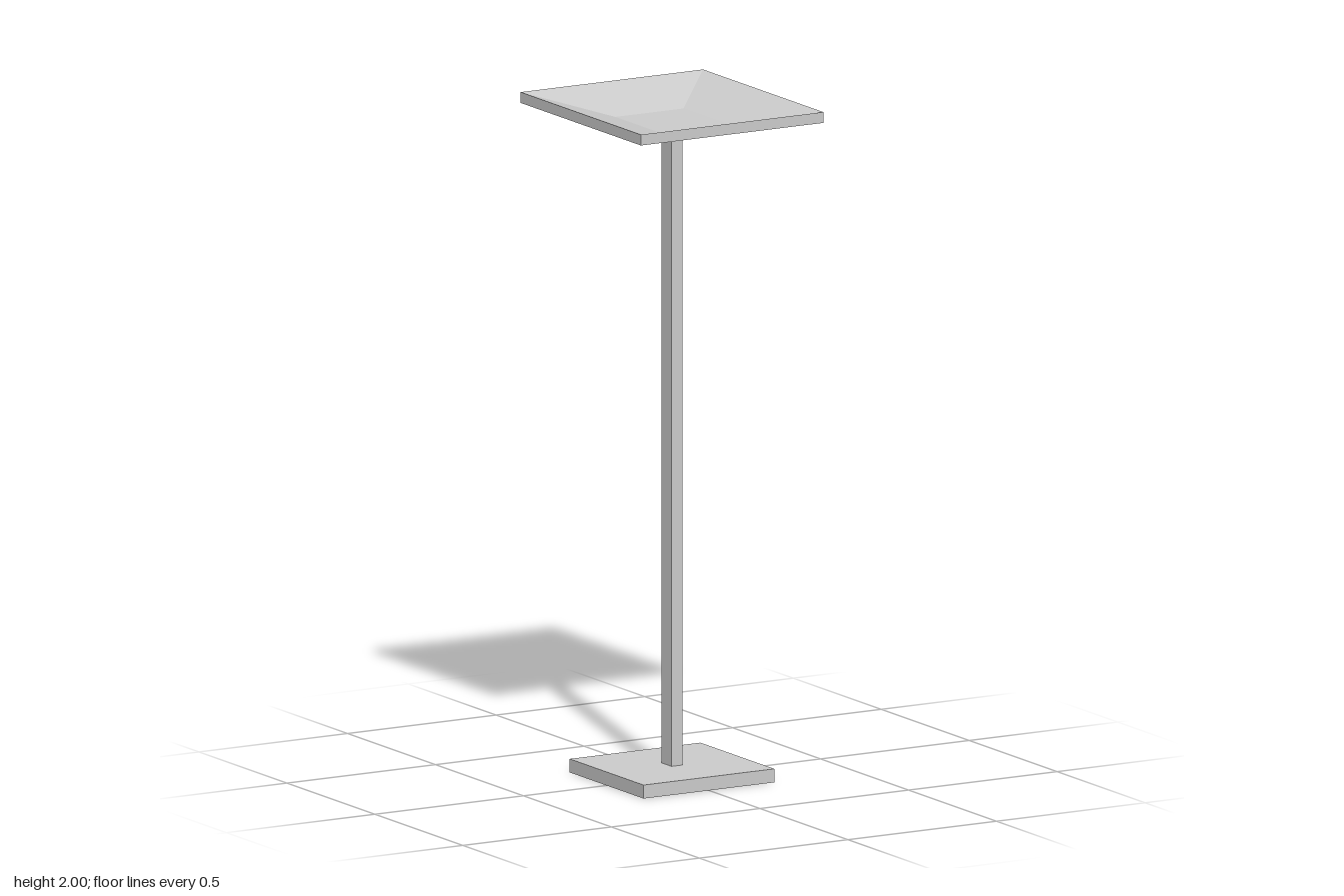
import * as THREE from 'three';

// Flat-shaded skin through rectangular rings [halfX, y, halfZ], ordered from the outside bottom upward
function loft(rings) {
  const signs = [[1, 1], [1, -1], [-1, -1], [-1, 1]];
  const corner = ([hx, y, hz], i) => [hx * signs[i % 4][0], y, hz * signs[i % 4][1]];
  const positions = [];
  for (let r = 0; r < rings.length - 1; r++) {
    for (let i = 0; i < 4; i++) {
      const a = corner(rings[r], i), b = corner(rings[r], i + 1);
      const c = corner(rings[r + 1], i + 1), d = corner(rings[r + 1], i);
      positions.push(...a, ...b, ...c, ...a, ...c, ...d);
    }
  }
  const geometry = new THREE.BufferGeometry();
  geometry.setAttribute('position', new THREE.Float32BufferAttribute(positions, 3));
  geometry.computeVertexNormals();
  return geometry;
}

export function createModel() {
  const model = new THREE.Group();
  model.name = 'floorLamp';
  const metal = new THREE.MeshStandardMaterial({ color: 0xcccccc, side: THREE.DoubleSide });
  metal.name = 'paleGreyMetal';

  const add = (name, rings) => {
    const mesh = new THREE.Mesh(loft(rings), metal);
    mesh.name = name;
    model.add(mesh);
  };

  const poleX = 0.019, poleZ = 0.029;

  // Hollow foot, open underneath, with a slot where the pole enters
  add('base', [[0.22, 0, 0.21], [0.22, 0.04, 0.21], [poleX, 0.04, poleZ]]);

  // Open rectangular tube
  add('pole', [[poleX, 0.04, poleZ], [poleX, 1.92, poleZ]]);

  // Shallow pyramid underside, upright rim, sloping recess and flat floor
  add('lampHead', [
    [poleX, 1.92, poleZ],
    [0.307, 1.968, 0.342],
    [0.307, 2, 0.342],
    [0.115, 1.945, 0.128],
    [0.0001, 1.945, 0.0001],
  ]);

  return model;
}
